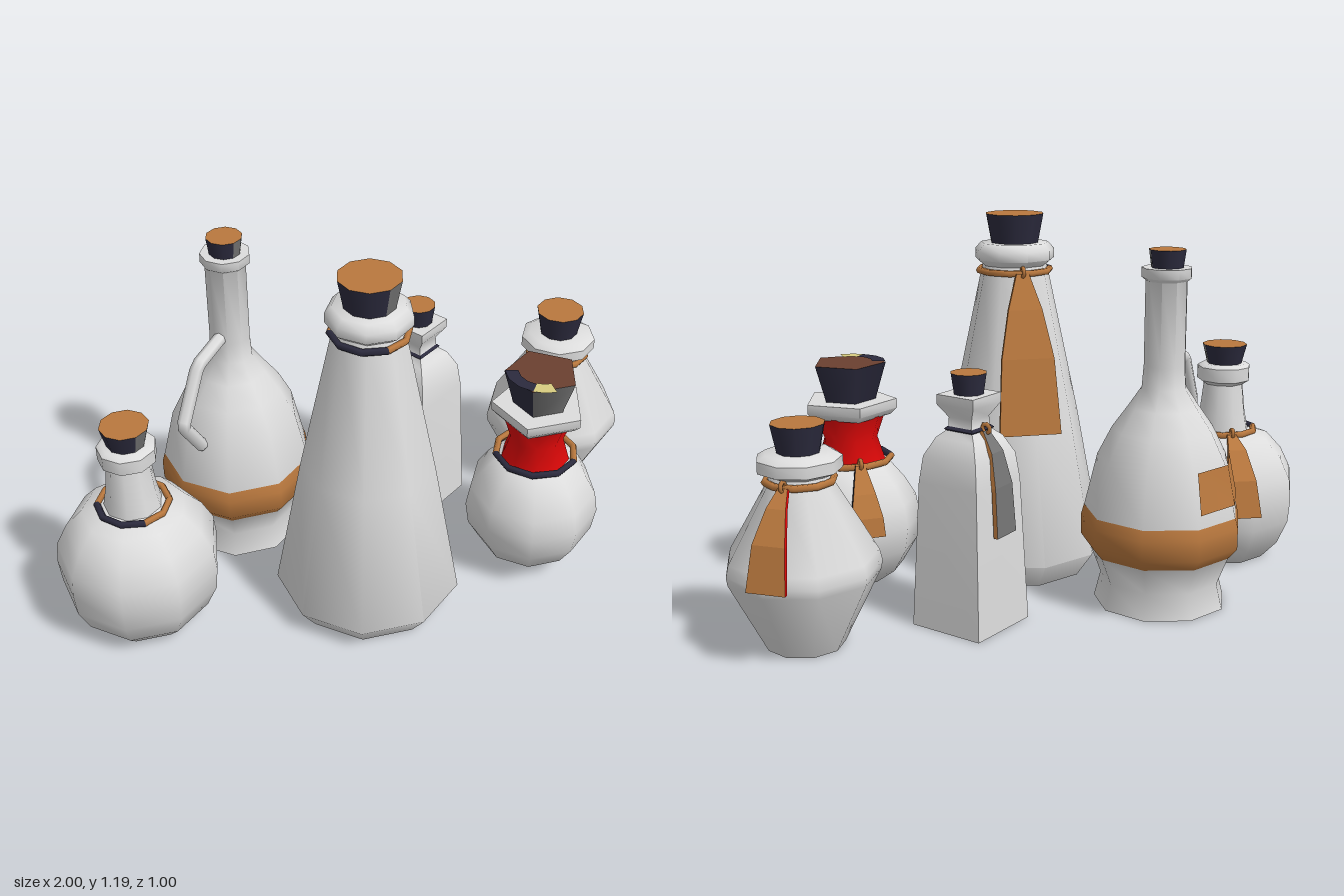
import * as THREE from 'three';
import { toCreasedNormals } from 'three/addons/utils/BufferGeometryUtils.js';

const D = Math.PI / 180;

export function createModel() {
  const mat = (name, color, side = THREE.FrontSide) => {
    const m = new THREE.MeshStandardMaterial({ color, side });
    m.name = name;
    return m;
  };
  const glass = mat('pale glass', 0xdcdcdc);
  const tan = mat('tan cord and cork', 0xb9783e);
  const navy = mat('dark navy', 0x2c2b3e);
  const grey = mat('worn grey', 0x747474);
  const red = mat('red', 0xdd0808);
  const brown = mat('dark brown', 0x6b4030);
  const cream = mat('cream', 0xd8cc80);

  const model = new THREE.Group();
  model.name = 'bottles';

  const add = (group, name, geo, material, y = 0) => {
    const mesh = new THREE.Mesh(geo, material);
    mesh.name = name;
    mesh.position.y = y;
    group.add(mesh);
    return mesh;
  };
  const bottle = (name, x, z) => {
    const g = new THREE.Group();
    g.name = name;
    g.position.set(x, 0, z);
    model.add(g);
    return g;
  };

  // Turned part from [radius, height] pairs, listed bottom to top
  const turned = (pts, sides = 9, start = 20, arc = 360) => toCreasedNormals(
    new THREE.LatheGeometry(pts.map(p => new THREE.Vector2(...p)), sides, start * D, arc * D), 0.95);

  // Tapered stopper with a worn grey patch on some of its sides
  function cork(g, r0, r1, y0, y1, { sides = 10, start = 20, worn = 2, top = tan } = {}) {
    const h = y1 - y0, step = 360 / sides;
    const side = (name, first, count, material) => add(g, name, new THREE.CylinderGeometry(
      r1, r0, h, count, 1, true, (start + first * step) * D, count * step * D), material, y0 + h / 2);
    if (worn) side('corkWornSide', 0, worn, grey);
    side('corkSide', worn, sides - worn, navy);
    add(g, 'corkTop', new THREE.CircleGeometry(r1, sides, (start - 90) * D).rotateX(-Math.PI / 2), top, y1);
  }

  // Cord round the neck, partly dark; angles run from +x towards +z
  function cord(g, r, y, darkFrom, darkTo, t = 0.011) {
    const arc = (name, from, to, material) => add(g, name, new THREE.TorusGeometry(
      r, t, 6, Math.max(3, Math.round((to - from) / 36)), (to - from) * D)
      .rotateX(Math.PI / 2).rotateY(-from * D), material, y);
    if (darkTo > darkFrom) arc('cordDark', darkFrom, darkTo, navy);
    arc('cord', darkTo, darkFrom + 360, tan);
  }

  // Hanging ribbon: sections [radius, height, width] going down along one direction
  function ribbon(g, dx, dz, sections, face, edge) {
    const d = new THREE.Vector3(dx, 0, dz).normalize();
    const s = new THREE.Vector3(0, 1, 0).cross(d);
    const loops = sections.map(([r, y, w]) => [[0, -1], [0, 1], [1, 1], [1, -1]].map(([inner, k]) =>
      new THREE.Vector3(0, y, 0).addScaledVector(d, r - inner * 0.014).addScaledVector(s, k * w / 2)));
    const pos = [], geo = new THREE.BufferGeometry();
    const quad = (a, b, c, e) => [a, b, c, a, c, e].forEach(v => pos.push(v.x, v.y, v.z));
    for (let k = 0; k < 4; k++) {
      const begin = pos.length / 3, n = (k + 1) % 4;
      for (let j = 0; j < loops.length - 1; j++)
        quad(loops[j][k], loops[j + 1][k], loops[j + 1][n], loops[j][n]);
      geo.addGroup(begin, pos.length / 3 - begin, k % 2);
    }
    const begin = pos.length / 3, [a, b, c, e] = loops[loops.length - 1];
    quad(a, e, c, b);
    geo.addGroup(begin, 6, 0);
    geo.setAttribute('position', new THREE.Float32BufferAttribute(pos, 3));
    geo.computeVertexNormals();
    add(g, 'ribbon', geo, [face, edge]);
    // Small loop that ties the ribbon to the cord
    const [r, y] = sections[0];
    const knot = add(g, 'ribbonKnot', new THREE.TorusGeometry(0.014, 0.007, 5, 7), tan, y + 0.005);
    knot.position.addScaledVector(d, r);
    knot.rotation.y = Math.atan2(dx, dz) + Math.PI / 2;
  }

  // Round flask
  const round = bottle('roundFlask', -0.745, 0.1);
  add(round, 'body', turned([[0, 0], [0.16, 0], [0.215, 0.06], [0.25, 0.14], [0.257, 0.22], [0.25, 0.29],
    [0.215, 0.36], [0.16, 0.42], [0.09, 0.44], [0.078, 0.5], [0.067, 0.6], [0.09, 0.615], [0.09, 0.66],
    [0.075, 0.67], [0, 0.67]]), glass);
  cork(round, 0.056, 0.075, 0.66, 0.735);
  cord(round, 0.11, 0.44, 80, 190);
  ribbon(round, 0.2, -1, [[0.12, 0.445, 0.03], [0.19, 0.41, 0.06], [0.25, 0.32, 0.1], [0.275, 0.2, 0.13]], tan, tan);

  // Jug with handle, band and label
  const jug = bottle('jug', -0.355, -0.255);
  add(jug, 'body', turned([[0, 0], [0.21, 0], [0.19, 0.08], [0.225, 0.17], [0.245, 0.2], [0.245, 0.3],
    [0.205, 0.47], [0.16, 0.56], [0.11, 0.63], [0.07, 0.69], [0.065, 0.76], [0.065, 1.02], [0.078, 1.03],
    [0.078, 1.06], [0, 1.06]], 9, 22), glass);
  add(jug, 'band', turned([[0.225, 0.17], [0.254, 0.205], [0.254, 0.27], [0.245, 0.303]], 9, 22), tan);
  add(jug, 'label', turned([[0.241, 0.345], [0.215, 0.47]], 2, -176, 76), tan);
  cork(jug, 0.048, 0.057, 1.05, 1.115);
  const path = new THREE.CurvePath();
  const grip = [[0.04, 0.78], [0.19, 0.75], [0.29, 0.58], [0.205, 0.455]]
    .map(([r, y]) => new THREE.Vector3(-0.69 * r, y, 0.72 * r));
  for (let i = 0; i < 3; i++) path.add(new THREE.LineCurve3(grip[i], grip[i + 1]));
  add(jug, 'handle', new THREE.TubeGeometry(path, 18, 0.022, 7), glass);
  add(jug, 'handleTip', new THREE.SphereGeometry(0.022, 7, 5), glass).position.copy(grip[3]);

  // Tall cone flask
  const cone = bottle('coneFlask', -0.028, 0.21);
  add(cone, 'body', turned([[0, 0], [0.24, 0], [0.296, 0.08], [0.21, 0.54], [0.112, 1], [0.105, 1.025],
    [0.13, 1.045], [0.13, 1.075], [0.11, 1.097], [0, 1.097]]), glass);
  cork(cone, 0.077, 0.096, 1.09, 1.19);
  cord(cone, 0.116, 1.008, 80, 190);
  ribbon(cone, 0.12, -1, [[0.125, 1.01, 0.04], [0.165, 0.9, 0.11], [0.205, 0.75, 0.17], [0.243, 0.51, 0.2]], tan, tan);

  // Square bottle
  const square = bottle('squareBottle', 0.268, -0.235);
  add(square, 'body', turned([[0, 0], [0.177, 0], [0.152, 0.45], [0.138, 0.53], [0.1, 0.585], [0.062, 0.61],
    [0.06, 0.645], [0.095, 0.685], [0.095, 0.715], [0, 0.715]], 4, -10), glass);
  cork(square, 0.045, 0.055, 0.71, 0.778, { worn: 0 });
  add(square, 'cord', turned([[0.064, 0.602], [0.075, 0.61], [0.064, 0.618]], 4, -10), navy);
  ribbon(square, -0.62, -0.78, [[0.06, 0.61, 0.03], [0.1, 0.55, 0.06], [0.122, 0.45, 0.09], [0.132, 0.3, 0.1]], grey, tan);

  // Round flask with red neck and five-sided stopper
  const ruby = bottle('redNeckFlask', 0.535, 0.187);
  add(ruby, 'body', turned([[0, 0.01], [0.09, 0.025], [0.16, 0.075], [0.205, 0.15], [0.217, 0.23],
    [0.205, 0.3], [0.17, 0.36], [0.12, 0.42], [0, 0.43]]), glass);
  add(ruby, 'neck', turned([[0.11, 0.42], [0.085, 0.5], [0.112, 0.58]]), red);
  add(ruby, 'rim', turned([[0, 0.57], [0.13, 0.575], [0.15, 0.595], [0.15, 0.625], [0, 0.625]], 5, 36), glass);
  cork(ruby, 0.082, 0.118, 0.62, 0.743, { sides: 5, start: -36, worn: 1, top: brown });
  const patch = (name, inner, from, len, material) => add(ruby, name, new THREE.RingGeometry(
    inner, 0.117, 1, 1, (from - 90) * D, len * D).rotateX(-Math.PI / 2), material, 0.746);
  patch('corkDarkPatch', 0.075, -108, 72, navy);
  patch('corkCreamPatch', 0.07, -36, 36, cream);
  cord(ruby, 0.128, 0.432, 40, 190);
  ribbon(ruby, 0, -1, [[0.135, 0.44, 0.03], [0.185, 0.36, 0.07], [0.215, 0.29, 0.1], [0.222, 0.23, 0.11]], tan, navy);

  // Diamond-shaped flask
  const diamond = bottle('diamondFlask', 0.775, -0.235);
  add(diamond, 'body', turned([[0, 0], [0.115, 0], [0.226, 0.22], [0.23, 0.245], [0.222, 0.28], [0.1, 0.49],
    [0.092, 0.52], [0.125, 0.535], [0.125, 0.57], [0.1, 0.585], [0, 0.585]]), glass);
  cork(diamond, 0.062, 0.08, 0.58, 0.67, { worn: 0 });
  cord(diamond, 0.1, 0.503, 0, 0);
  ribbon(diamond, 0.12, -0.165, [[0.108, 0.505, 0.03], [0.155, 0.46, 0.06], [0.21, 0.37, 0.1], [0.24, 0.24, 0.12]], tan, red);

  return model;
}
